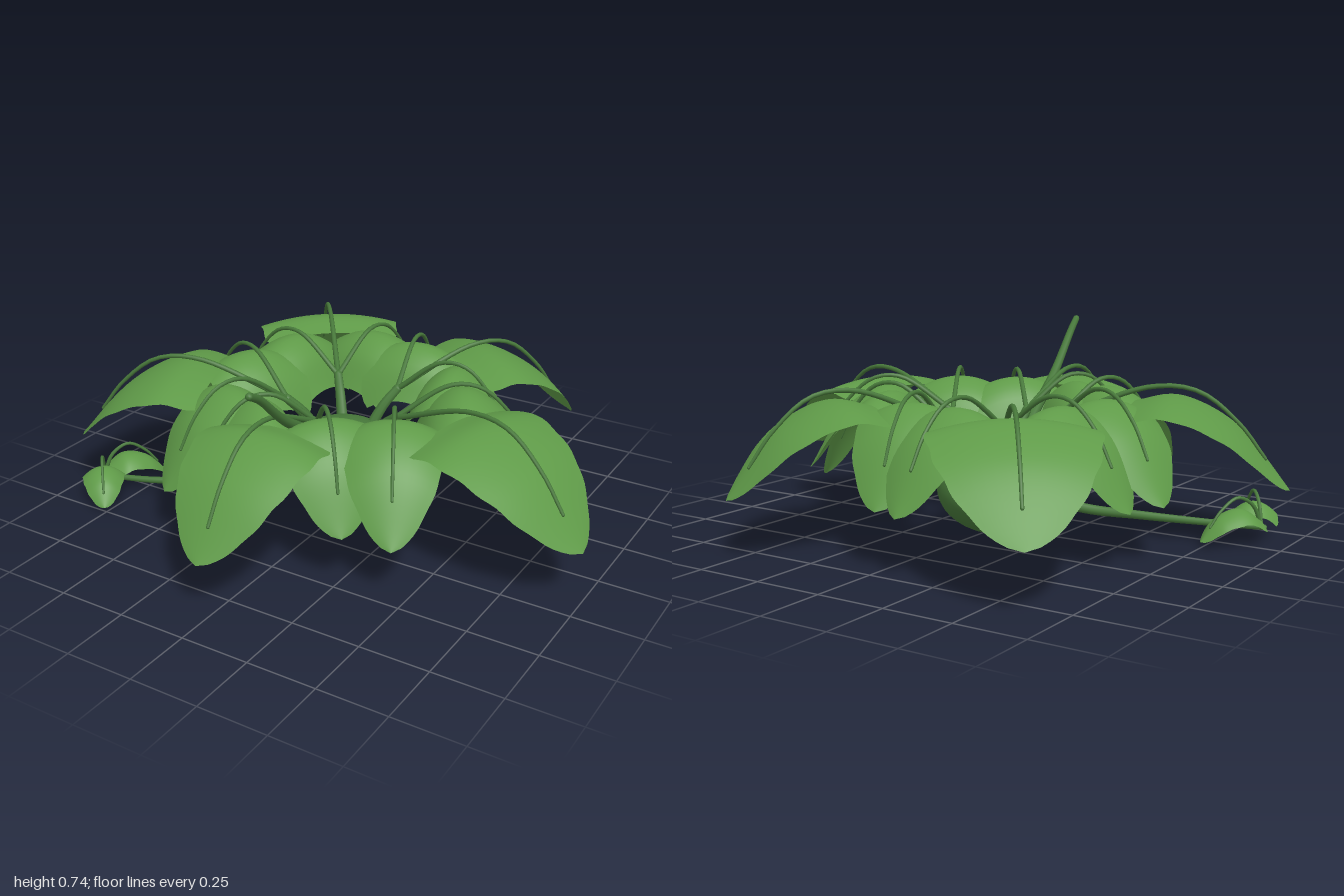
import * as THREE from 'three';

const leafMat = new THREE.MeshStandardMaterial({ color: 0x5f9a48, side: THREE.DoubleSide });
const stemMat = new THREE.MeshStandardMaterial({ color: 0x47783a, side: THREE.DoubleSide });
const V = (x, y, z) => new THREE.Vector3(x, y, z);

function addMesh(group, name, geometry, material) {
  const mesh = new THREE.Mesh(geometry, material);
  mesh.name = name;
  group.add(mesh);
  return mesh;
}

// Tube along points, tapering from radius r0 to r1, with a rounded tip
function addStem(group, name, points, r0, r1) {
  const curve = new THREE.CatmullRomCurve3(points);
  const rings = 20, sides = 8;
  const geo = new THREE.TubeGeometry(curve, rings, r0, sides);
  const pos = geo.attributes.position;
  const p = new THREE.Vector3();
  for (let i = 0; i <= rings; i++) {
    const c = curve.getPointAt(i / rings);
    const k = THREE.MathUtils.lerp(1, r1 / r0, i / rings);
    for (let j = 0; j <= sides; j++) {
      const n = i * (sides + 1) + j;
      p.fromBufferAttribute(pos, n).sub(c).multiplyScalar(k).add(c);
      pos.setXYZ(n, p.x, p.y, p.z);
    }
  }
  addMesh(group, name, geo, stemMat);
  addMesh(group, name + 'Tip', new THREE.SphereGeometry(r1, 8, 6), stemMat)
    .position.copy(points[points.length - 1]);
}

// Leaflet blade arching from its node to a tip, with a raised midrib.
// profile: [fraction of the way from node to tip, height]; ribLine: [position along blade, lift]
function addLeaflet(group, name, node, tip, shape, halfWidth) {
  const { profile, baseWidth, droop, rib, ribLine } = shape;
  const at = (t, y) => V(THREE.MathUtils.lerp(node.x, tip[0], t), y, THREE.MathUtils.lerp(node.z, tip[1], t));
  const spine = new THREE.CatmullRomCurve3(profile.map(([t, y]) => at(t, y)));
  const side = V(tip[1] - node.z, 0, node.x - tip[0]).normalize();
  const rows = 28, cols = 12;
  const geo = new THREE.PlaneGeometry(1, 1, cols, rows);
  const pos = geo.attributes.position;
  for (let i = 0; i <= rows; i++) {
    const u = i / rows;
    const w = halfWidth * Math.pow(1 - Math.pow(u, 2.2), 0.7)
      * (1 - (1 - baseWidth) * Math.pow(1 - u, 8)) * (1 + 0.015 * Math.sin(u * 30));
    for (let j = 0; j <= cols; j++) {
      const v = (j / cols) * 2 - 1;
      const p = spine.getPointAt(u).addScaledVector(side, -v * w);
      pos.setXYZ(i * (cols + 1) + j, p.x, p.y - droop * v * v * (w / halfWidth), p.z);
    }
  }
  geo.computeVertexNormals();
  addMesh(group, name, geo, leafMat);

  // Midrib springs from the node, arches above the blade and lands near the tip
  const ribPoints = ribLine.map(([u, lift]) => spine.getPointAt(u).add(V(0, lift, 0)));
  addStem(group, name + 'Midrib', [node, ...ribPoints], rib, rib * 0.55);
}

const OUTER = {
  profile: [[0.33, 0.49], [0.5, 0.515], [0.74, 0.43], [1, 0.2]],
  baseWidth: 0.85, droop: 0.045, rib: 0.011,
  ribLine: [[0.1, 0.04], [0.35, 0.045], [0.6, 0.025], [0.8, 0.006]],
};
const INNER = {
  profile: [[0.12, 0.34], [0.26, 0.47], [0.45, 0.52], [0.72, 0.44], [1, 0.2]],
  baseWidth: 0.7, droop: 0.07, rib: 0.01,
  ribLine: [[0.3, 0.04], [0.45, 0.035], [0.62, 0.022], [0.78, 0.006]],
};
const YOUNG = {
  profile: [[0.05, 0.08], [0.35, 0.125], [0.7, 0.1], [1, 0.02]],
  baseWidth: 0.7, droop: 0.045, rib: 0.008,
  ribLine: [[0.1, 0.035], [0.35, 0.04], [0.6, 0.02], [0.8, 0.004]],
};

// Five stalks, each with a large end leaflet and two side leaflets
const STALKS = [
  { name: 'front', node: [-0.02, 0.17], end: [-0.02, 0.89], width: 0.24, sides: [[-0.32, 0.52], [0.29, 0.51]] },
  { name: 'left', node: [0.2, 0], end: [1.0, 0.18], width: 0.285, sides: [[0.47, 0.5], [0.67, -0.27]] },
  { name: 'backLeft', node: [0.08, -0.23], end: [0.52, -0.86], width: 0.265, sides: [[0.54, -0.33], [0, -0.72]] },
  { name: 'backRight', node: [-0.18, -0.23], end: [-0.66, -0.87], width: 0.29, sides: [[-0.7, -0.3], [-0.11, -0.76]] },
  { name: 'right', node: [-0.22, 0.06], end: [-1.0, 0.32], width: 0.285, sides: [[-0.75, -0.16], [-0.42, 0.55]] },
];

export function createModel() {
  const group = new THREE.Group();
  group.name = 'plant';

  // Rounded crown at the base
  const bulb = addMesh(group, 'bulb', new THREE.SphereGeometry(1, 32, 20), stemMat);
  bulb.scale.set(0.23, 0.165, 0.21);
  bulb.position.set(-0.04, 0.165, -0.055);

  for (const s of STALKS) {
    const leaf = new THREE.Group();
    leaf.name = s.name + 'Leaf';
    group.add(leaf);
    const node = V(s.node[0], 0.42, s.node[1]);
    const root = V(-0.04, 0.22, -0.06).lerp(V(node.x, 0.22, node.z), 0.3);
    const bend = root.clone().lerp(node, 0.6).add(V(0, 0.02, 0));
    addStem(leaf, s.name + 'Stalk', [root, bend, node], 0.024, 0.017);
    addLeaflet(leaf, s.name + 'EndLeaflet', node, s.end, OUTER, s.width);
    s.sides.forEach((tip, i) =>
      addLeaflet(leaf, s.name + 'SideLeaflet' + (i + 1), node, tip, INNER, 0.205));
  }

  // Bare shoot leaning forward
  addStem(group, 'shoot',
    [V(-0.04, 0.25, 0.02), V(-0.02, 0.4, 0.22), V(0.01, 0.53, 0.42), V(0.04, 0.68, 0.6), V(0.06, 0.725, 0.68)],
    0.024, 0.013);

  // Low runner ending in two young leaflets
  addStem(group, 'runner',
    [V(-0.16, 0.14, 0.03), V(-0.29, 0.085, 0.13), V(-0.48, 0.07, 0.2), V(-0.7, 0.055, 0.29), V(-0.9, 0.05, 0.35)],
    0.021, 0.01);
  const runnerEnd = V(-0.89, 0.05, 0.345);
  [[-0.75, 0.51], [-0.75, 0.14]].forEach((tip, i) =>
    addLeaflet(group, 'youngLeaflet' + (i + 1), runnerEnd, tip, YOUNG, 0.085));

  return group;
}
